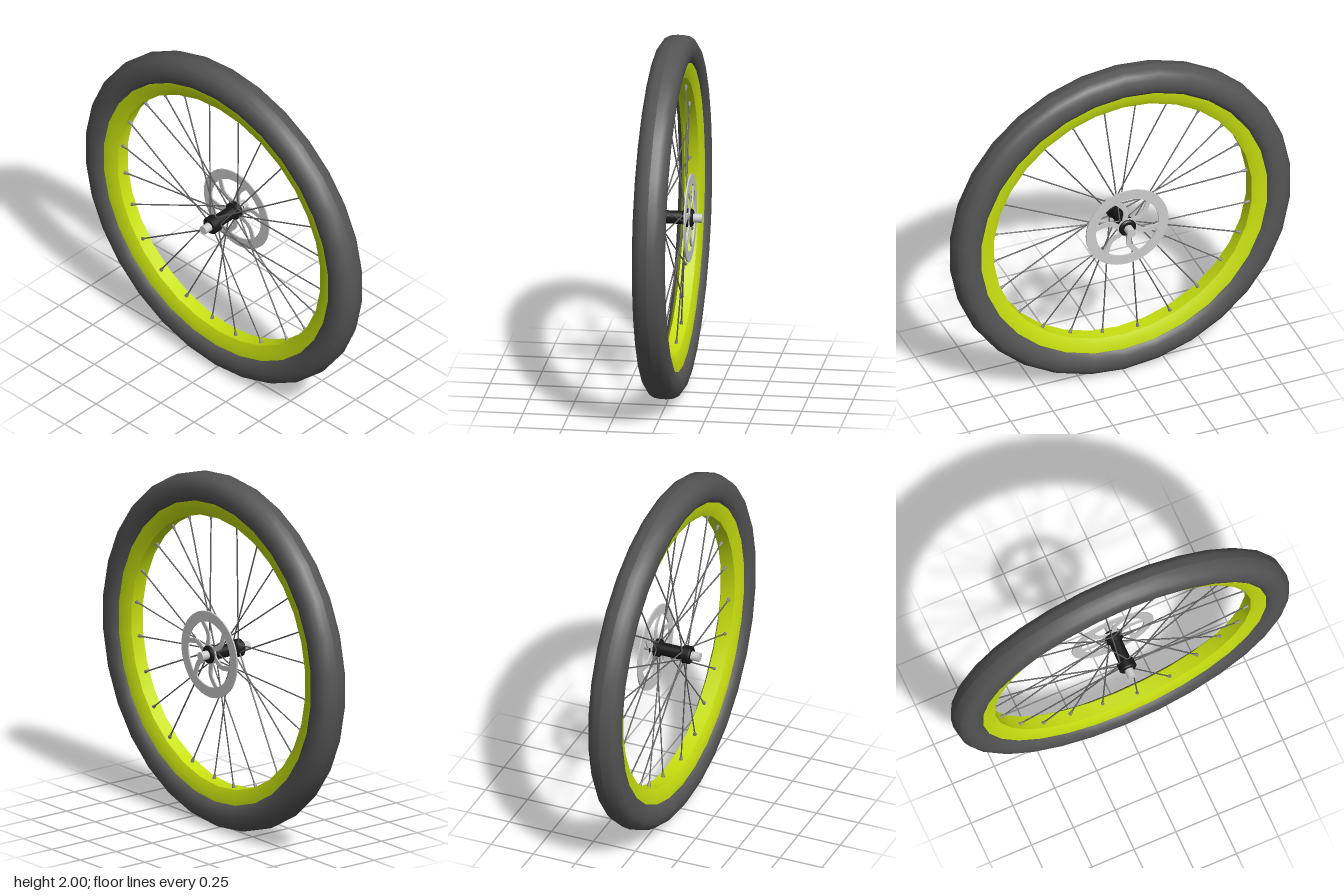
import * as THREE from 'three';
import { toCreasedNormals } from 'three/addons/utils/BufferGeometryUtils.js';

const SEGMENTS = 30;
const mat = (color, side = THREE.FrontSide) => new THREE.MeshStandardMaterial({ color, side });
const rubber = mat(0x555555);
const lime = mat(0xc8e010);
const black = mat(0x161616);
const grey = mat(0xcccccc);
const wire = mat(0x666666);
const nippleMat = mat(0x888888);

// Revolves a [radius, x] profile around the x axis
function revolve(profile, segments) {
  const pts = profile.map(([r, x]) => new THREE.Vector2(r, x));
  return new THREE.LatheGeometry(pts, segments, Math.PI / 2).rotateZ(-Math.PI / 2);
}

// Tapered rod between two points
function rod(a, b, ra, rb, sides, material, name) {
  const dir = b.clone().sub(a);
  const mesh = new THREE.Mesh(new THREE.CylinderGeometry(rb, ra, dir.length(), sides), material);
  mesh.position.copy(a).addScaledVector(dir, 0.5);
  mesh.quaternion.setFromUnitVectors(new THREE.Vector3(0, 1, 0), dir.normalize());
  mesh.name = name;
  return mesh;
}

// Point at a radius and angle in the wheel plane (angle from up, towards +z)
const polar = (x, r, a) => new THREE.Vector3(x, r * Math.cos(a), r * Math.sin(a));

function tire() {
  const profile = [];
  const soften = (v) => Math.sign(v) * Math.abs(v) ** 0.85;
  for (let i = 0; i <= 16; i++) {
    const t = (i / 16) * Math.PI * 2;
    profile.push([0.915 + 0.085 * soften(Math.cos(t)), 0.092 * soften(Math.sin(t))]);
  }
  const mesh = new THREE.Mesh(revolve(profile, SEGMENTS), rubber);
  mesh.name = 'tire';
  return mesh;
}

function rim() {
  const profile = [
    [0.85, -0.062], [0.85, 0.062], [0.805, 0.058], [0.765, 0.04],
    [0.765, -0.04], [0.805, -0.058], [0.85, -0.062],
  ];
  const mesh = new THREE.Mesh(toCreasedNormals(revolve(profile, SEGMENTS), 0.4), lime);
  mesh.name = 'rim';
  return mesh;
}

// 24 spokes, leaning alternately and laced in pairs to the two hub flanges
function spokes() {
  const group = new THREE.Group();
  group.name = 'spokes';
  for (let k = 0; k < 24; k++) {
    const angle = THREE.MathUtils.degToRad(7.5 + 15 * k);
    const lean = k % 2 ? -0.7 : 0.7;
    const side = Math.floor(k / 2) % 2 ? -1 : 1;
    const inner = polar(side * 0.075, 0.042, angle + lean);
    const outer = polar(side * 0.01, 0.765, angle);
    const tip = outer.clone().lerp(inner, 0.045);
    group.add(rod(inner, outer, 0.004, 0.004, 6, wire, 'spoke'));
    group.add(rod(tip, outer, 0.005, 0.011, 8, nippleMat, 'nipple'));
  }
  return group;
}

function hub() {
  const group = new THREE.Group();
  group.name = 'hub';
  const shell = [
    [0, -0.118], [0.042, -0.118], [0.05, -0.11], [0.05, -0.068], [0.036, -0.058],
    [0.036, 0.058], [0.05, 0.068], [0.05, 0.11], [0.042, 0.118], [0, 0.118],
  ];
  const body = new THREE.Mesh(toCreasedNormals(revolve(shell, 24), 0.5), black);
  body.name = 'hubShell';
  const axle = rod(new THREE.Vector3(-0.167, 0, 0), new THREE.Vector3(0.167, 0, 0),
    0.025, 0.025, 20, grey, 'axle');
  group.add(body, axle);
  return group;
}

// Brake disc: outer ring, six swept arms and a centre collar
function brakeDisc() {
  const group = new THREE.Group();
  group.name = 'brakeDisc';
  const add = (shape, name) => {
    const geo = new THREE.ExtrudeGeometry(shape, { depth: 0.008, bevelEnabled: false, curveSegments: 24 });
    const mesh = new THREE.Mesh(toCreasedNormals(geo.rotateY(Math.PI / 2), 0.5), grey);
    mesh.position.x = 0.096;
    mesh.name = name;
    group.add(mesh);
  };
  const ring = (outer, inner) => {
    const shape = new THREE.Shape().absarc(0, 0, outer, 0, Math.PI * 2);
    shape.holes.push(new THREE.Path().absarc(0, 0, inner, 0, Math.PI * 2, true));
    return shape;
  };
  add(ring(0.243, 0.185), 'discRing');
  add(ring(0.056, 0.04), 'discCollar');

  for (let k = 0; k < 6; k++) {
    // Arm centreline as [radius, angle in degrees]
    const line = [[0.045, 52], [0.08, 37], [0.12, 36], [0.16, 44], [0.195, 50]].map(([r, deg]) => {
      const a = THREE.MathUtils.degToRad(deg + 60 * k);
      return new THREE.Vector2(r * Math.cos(a), r * Math.sin(a));
    });
    const curve = new THREE.SplineCurve(line);
    const edge = (t, s) => {
      const d = curve.getTangent(t);
      return curve.getPoint(t).add(new THREE.Vector2(d.y, -d.x).multiplyScalar(s * 0.014));
    };
    const steps = Array.from({ length: 13 }, (_, i) => i / 12);
    add(new THREE.Shape([
      ...steps.map((t) => edge(t, 1)),
      ...steps.reverse().map((t) => edge(t, -1)),
    ]), 'discArm');
  }
  return group;
}

export function createModel() {
  const wheel = new THREE.Group();
  wheel.name = 'wheel';
  wheel.add(tire(), rim(), spokes(), hub(), brakeDisc());
  wheel.position.y = 1;
  const model = new THREE.Group();
  model.name = 'bicycleWheel';
  model.add(wheel);
  return model;
}
